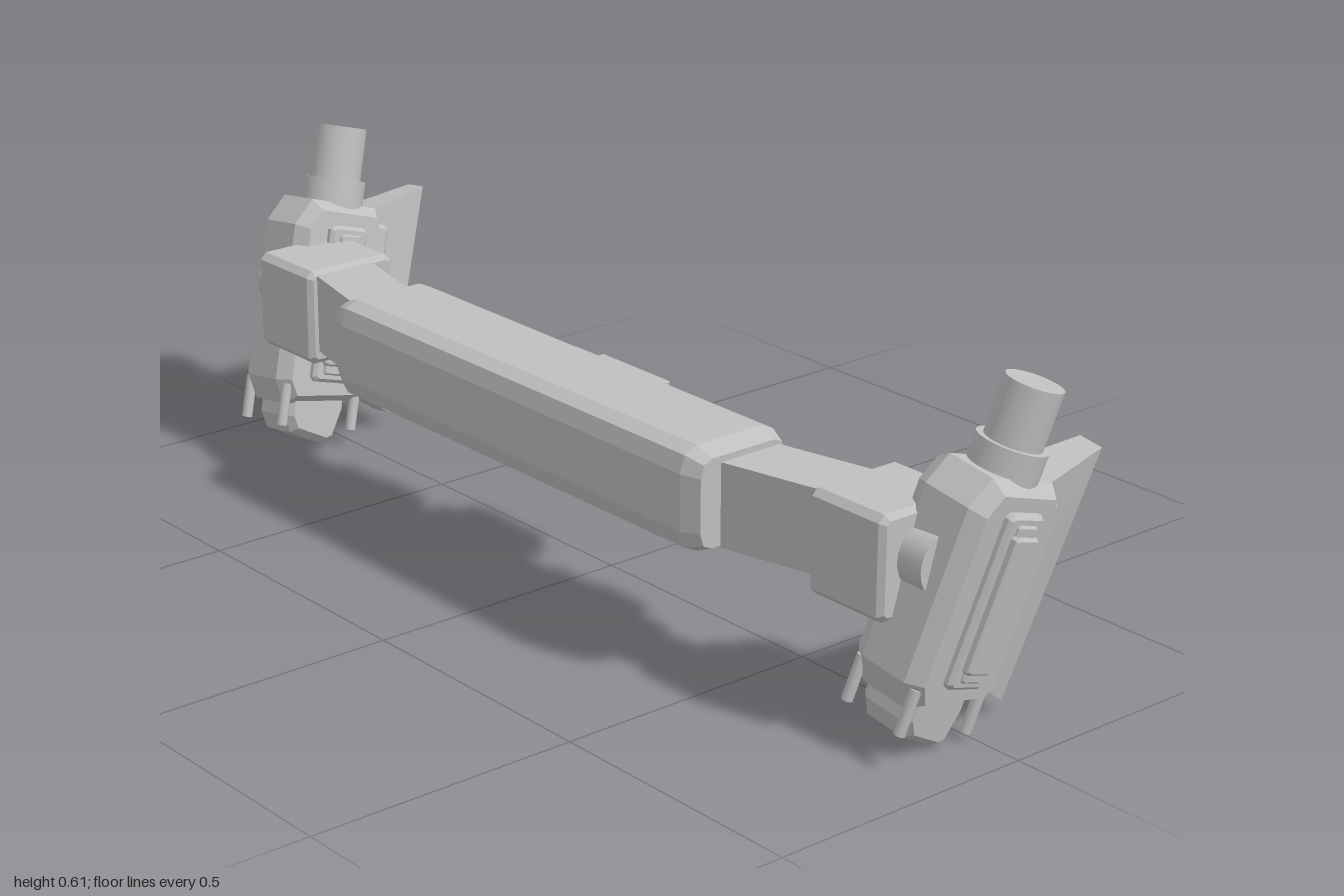
import * as THREE from 'three';

const grey = new THREE.MeshStandardMaterial({ color: 0xbfbfbf });
grey.name = 'plainGrey';

function add(parent, name, geometry, x = 0, y = 0, z = 0) {
  const mesh = new THREE.Mesh(geometry, grey);
  mesh.name = name;
  mesh.position.set(x, y, z);
  parent.add(mesh);
  return mesh;
}

// Profile of [z, y] points run along x, with bevelled ends
function prism(points, width, bevel, run = bevel) {
  const shape = new THREE.Shape(points.map(p => new THREE.Vector2(p[0], p[1])));
  const g = new THREE.ExtrudeGeometry(shape, {
    depth: width - 2 * run, bevelEnabled: true, bevelSegments: 1,
    bevelSize: bevel, bevelThickness: run, bevelOffset: -bevel,
  });
  g.translate(0, 0, -(width - 2 * run) / 2);
  return g.rotateY(-Math.PI / 2);
}

// Box with cut edges
function cutBox(w, h, d, c) {
  const a = d / 2, b = h / 2;
  return prism([[a, -b + c], [a, b - c], [a - c, b], [c - a, b],
    [-a, b - c], [-a, c - b], [c - a, -b], [a - c, -b]], w, c * 0.8);
}

// Box whose corners are placed by a rule on their signs
function ruledBox(rule) {
  const g = new THREE.BoxGeometry(2, 2, 2).toNonIndexed();
  const p = g.attributes.position;
  for (let i = 0; i < p.count; i++) p.setXYZ(i, ...rule(p.getX(i), p.getY(i), p.getZ(i)));
  g.computeVertexNormals();
  return g;
}

function createPod(s) {
  const pod = new THREE.Group();
  pod.name = s > 0 ? 'leftPod' : 'rightPod';
  pod.position.set(s * 0.872, 0.27, 0.02);
  pod.rotation.set(-0.288, 0, -s * 0.145, 'ZXY');

  add(pod, 'podBody', prism([[0.1, -0.155], [0.1, 0.143], [0.068, 0.194], [-0.08, 0.19],
    [-0.104, 0.135], [-0.104, -0.155], [-0.085, -0.188], [0.075, -0.2]], 0.15, 0.018, 0.028));

  // Stacked panels on both cheeks
  for (const k of [-1, 1]) {
    add(pod, 'panelBase', cutBox(0.03, 0.3, 0.084, 0.008), k * 0.075);
    add(pod, 'panelMiddle', cutBox(0.03, 0.27, 0.045, 0.004), k * 0.081);
    add(pod, 'panelTop', cutBox(0.03, 0.235, 0.055, 0.005), k * 0.089);
  }

  // Flared rear fin on a backing strip
  add(pod, 'finBase', cutBox(0.1, 0.32, 0.04, 0.01), 0, 0, -0.1);
  add(pod, 'fin', ruledBox((x, y, z) => z < 0
    ? [x * 0.024, y > 0 ? 0.243 : -0.205, y > 0 ? -0.204 : -0.191]
    : [x * 0.045, y > 0 ? 0.185 : -0.16, -0.075]));

  // Upper post and collar
  add(pod, 'collar', new THREE.CylinderGeometry(0.06, 0.06, 0.09, 32), 0, 0.192, -0.01);
  add(pod, 'post', new THREE.CylinderGeometry(0.049, 0.049, 0.16, 32), 0, 0.258, -0.011);

  // Foot with four pins
  add(pod, 'foot', prism([[0.065, -0.17], [0.064, -0.225], [0.046, -0.255], [-0.03, -0.272],
    [-0.05, -0.262], [-0.066, -0.205], [-0.066, -0.17]].reverse(), 0.11, 0.012, 0.015));
  for (const x of [-0.06, 0.06]) for (const z of [-0.078, 0.082]) {
    add(pod, 'pin', new THREE.CylinderGeometry(0.01, 0.01, 0.08, 12), x, -0.2, z);
  }
  return pod;
}

export function createModel() {
  const model = new THREE.Group();
  model.name = 'handlebar';

  // Central grip
  add(model, 'grip', prism([[0.105, 0.05], [0.095, 0.08], [0.07, 0.092], [-0.07, 0.092],
    [-0.095, 0.08], [-0.104, 0.05], [-0.104, -0.05], [-0.095, -0.08], [-0.07, -0.092],
    [0.07, -0.092], [0.095, -0.08], [0.105, -0.05]].reverse(), 1, 0.014, 0.035), 0, 0.328, 0.138);

  // Rear centre mount
  add(model, 'mountBase', cutBox(0.23, 0.1, 0.06, 0.012), 0, 0.33, 0.01);
  add(model, 'mountBlock', cutBox(0.18, 0.05, 0.07, 0.003), 0, 0.335, -0.023);

  for (const s of [-1, 1]) {
    // Rear clamps
    add(model, 'clampPlate', cutBox(0.12, 0.125, 0.055, 0.01), s * 0.32, 0.288, 0.04);
    add(model, 'clampBar', cutBox(0.22, 0.035, 0.03, 0.005), s * 0.32, 0.315, 0.028);
    add(model, 'clampTab', cutBox(0.09, 0.03, 0.03, 0.005), s * 0.32, 0.36, 0.03);

    // Swept arm
    add(model, 'arm', ruledBox((x, y, z) => {
      const outer = x * s > 0;
      return [s * (outer ? 0.72 : 0.46), y > 0 ? 0.395 : 0.247,
        (outer ? 0.073 : 0.132) + z * 0.063];
    }));

    // Elbow and pivot
    add(model, 'elbow', cutBox(0.168, 0.182, 0.19, 0.012), s * 0.764, 0.312, 0.068);
    const pivot = add(model, 'pivot', new THREE.CylinderGeometry(0.055, 0.055, 0.1, 24), s * 0.85, 0.32, 0.075);
    pivot.rotation.z = Math.PI / 2;

    model.add(createPod(s));
  }
  return model;
}
